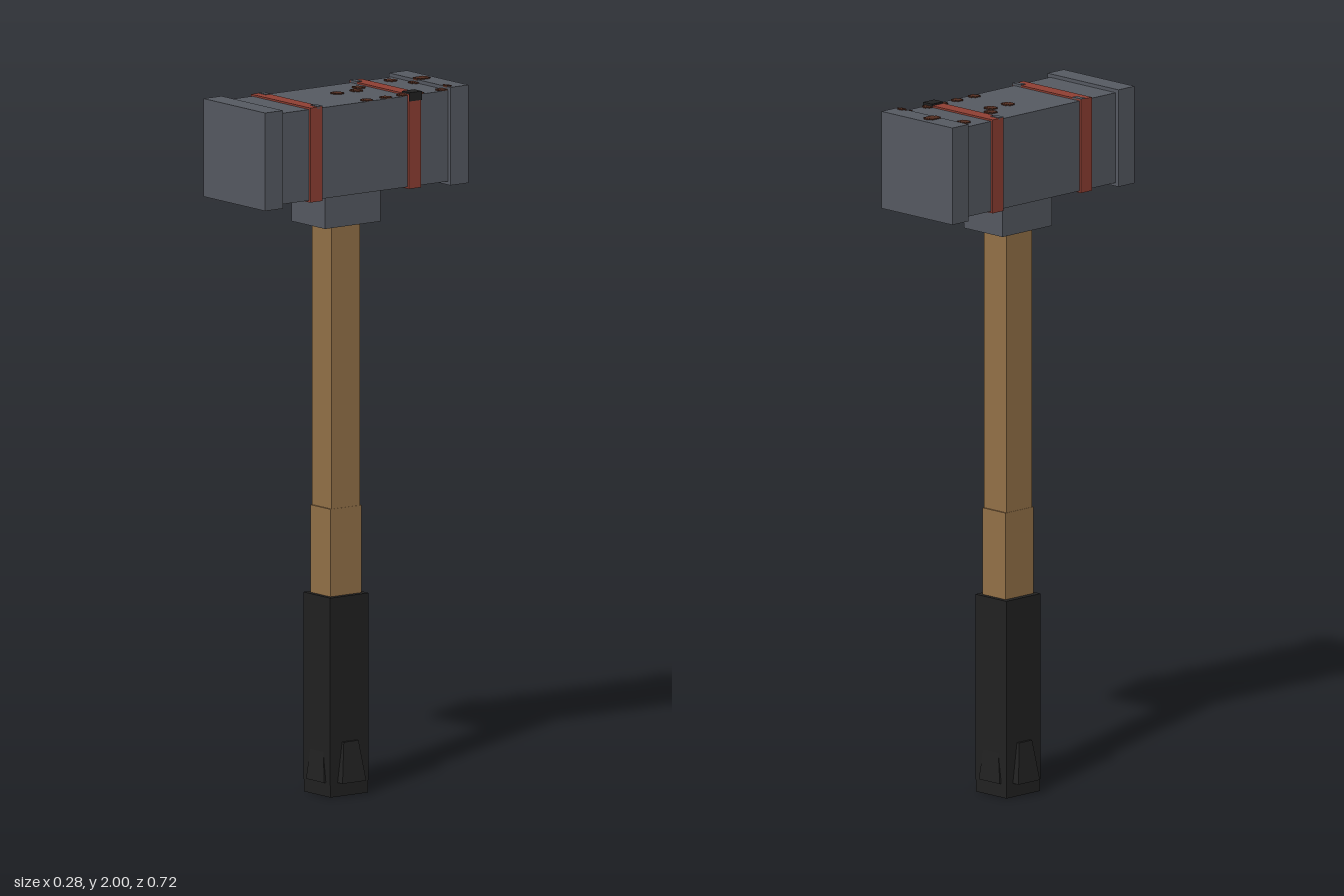
import * as THREE from 'three';

export function createModel() {
  const model = new THREE.Group();
  const mat = (name, color) => {
    const m = new THREE.MeshStandardMaterial({ color });
    m.name = name;
    return m;
  };
  const steel = mat('steel grey', 0x575b63);
  const red = mat('red paint', 0x914034);
  const wood = mat('wood', 0x967349);
  const rubber = mat('black rubber', 0x222222);
  const rust = mat('rust', 0x522d20);

  const add = (name, geometry, material) => {
    const mesh = new THREE.Mesh(geometry, material);
    mesh.name = name;
    model.add(mesh);
    return mesh;
  };
  // Box given by its lowest and highest corner
  const box = (name, material, [x0, y0, z0], [x1, y1, z1]) => {
    const mesh = add(name, new THREE.BoxGeometry(x1 - x0, y1 - y0, z1 - z0), material);
    mesh.position.set((x0 + x1) / 2, (y0 + y1) / 2, (z0 + z1) / 2);
    return mesh;
  };
  // Box centred on the shaft axis
  const column = (name, material, hx, hz, y0, y1) =>
    box(name, material, [-hx, y0, -hz], [hx, y1, hz]);

  // Handle: shaft, thicker lower shaft and grip
  column('shaft', wood, 0.045, 0.05, 0.5, 1.66);
  column('lowerShaft', wood, 0.046, 0.055, 0.5, 0.82);
  column('grip', rubber, 0.062, 0.068, 0.035, 0.57);
  column('gripEnd', rubber, 0.061, 0.066, 0, 0.04);

  // Flared tabs around the foot of the grip, wider and prouder at the bottom
  const tab = (angle, top, bottom) => {
    const g = new THREE.BoxGeometry(1, 0.115, 1);
    const p = g.attributes.position;
    for (let i = 0; i < p.count; i++) {
      const low = p.getY(i) < 0;
      p.setX(i, Math.sign(p.getX(i)) * (low ? 0.042 : 0.026));
      p.setZ(i, p.getZ(i) < 0 ? 0.05 : low ? bottom : top);
    }
    const mesh = add('gripTab', g.toNonIndexed(), rubber);
    mesh.geometry.computeVertexNormals();
    mesh.position.y = 0.0975;
    mesh.rotation.y = angle;
  };
  for (const s of [0, 1]) {
    tab(s * Math.PI, 0.066, 0.074);
    tab(Math.PI / 2 + s * Math.PI, 0.07, 0.085);
  }

  // Hammer head: collar, body, striking faces and painted bands
  column('collar', steel, 0.077, 0.098, 1.63, 1.74);
  column('headBody', steel, 0.131, 0.31, 1.73, 1.99);
  for (const s of [-1, 1]) {
    const cap = column('strikingFace', steel, 0.142, 0.032, 1.72, 2);
    cap.position.z = s * 0.328;
    const band = column('band', red, 0.137, 0.0215, 1.725, 1.995);
    band.position.z = s * 0.1745;
  }

  // Chipped paint on the band corners, and one blackened corner
  const chip = (x0, x1, z0, z1) =>
    box('paintChip', steel, [x0, 1.99, z0], [x1, 1.997, z1]);
  chip(-0.137, -0.103, -0.171, -0.153);
  chip(-0.137, -0.103, 0.153, 0.17);
  chip(0.103, 0.137, 0.153, 0.17);
  box('blackCorner', rubber, [0.103, 1.975, -0.198], [0.139, 2, -0.154]);

  // Blocky rust spots, each a pair of crossed plates
  const spot = (x, y, z, rx = 0.017, rz = 0.017) => {
    box('rustSpot', rust, [x - rx, y - 0.003, z - rz + 0.007], [x + rx, y + 0.003, z + rz - 0.007]);
    box('rustSpot', rust, [x - rx + 0.008, y - 0.0025, z - rz], [x + rx - 0.008, y + 0.0025, z + rz]);
  };
  const top = 1.99;
  for (const [x, z] of [[-0.086, -0.259], [-0.053, -0.121], [-0.019, -0.087], [-0.019, -0.019]])
    spot(x, top, z);
  for (const z of [-0.285, -0.2, -0.147, -0.087, -0.019]) spot(0.116, top, z, 0.0145);
  spot(-0.019, 2, -0.318, 0.017, 0.024);
  spot(-0.019, top, -0.294);
  spot(0.118, 2, -0.303, 0.017, 0.008);
  spot(-0.086, 1.73, -0.259);

  return model;
}
